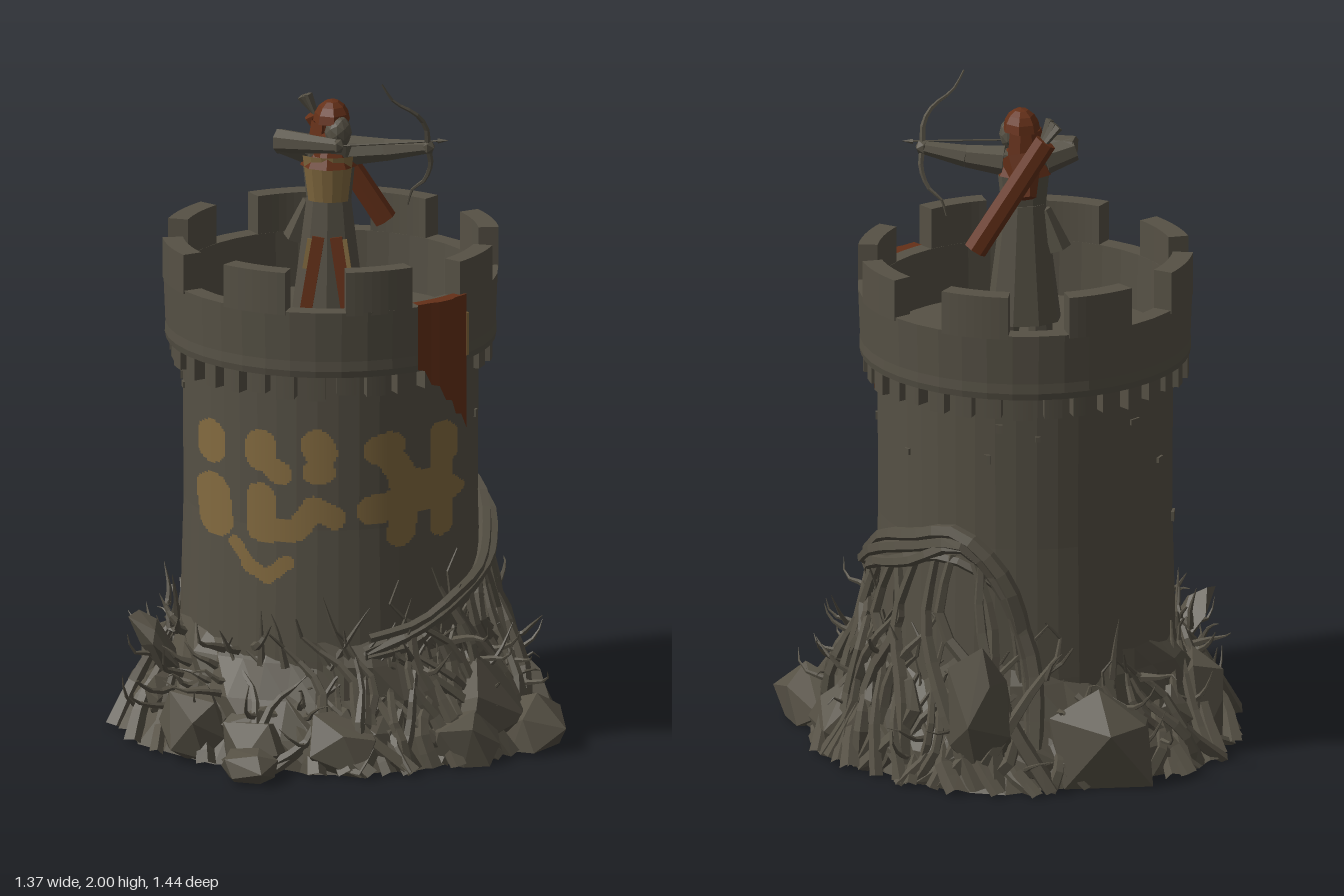
import * as THREE from 'three';
import { mergeGeometries } from 'three/addons/utils/BufferGeometryUtils.js';
import { ConvexGeometry } from 'three/addons/geometries/ConvexGeometry.js';

const stone = new THREE.MeshStandardMaterial({ color: 0x565145 });
stone.name = 'stone grey';
const rust = new THREE.MeshStandardMaterial({ color: 0x653018, side: THREE.DoubleSide });
rust.name = 'rust cloth';
const tan = new THREE.MeshStandardMaterial({ color: 0x846b40, side: THREE.DoubleSide });
tan.name = 'tan paint';

let seed = 7;
const rnd = () => (seed = (seed * 16807) % 2147483647) / 2147483647;
const span = (a, b) => a + (b - a) * rnd();
const V = (x, y, z) => new THREE.Vector3(x, y, z);
// Point around the tower axis; 0 degrees is the front, 90 the model's left
const P = (deg, r, y) => V(Math.sin(deg * Math.PI / 180) * r, y, Math.cos(deg * Math.PI / 180) * r);

// Faceted geometry with one normal per face
function flat(g) {
  const f = g.index ? g.toNonIndexed() : g;
  f.deleteAttribute('uv');
  f.computeVertexNormals();
  return f;
}
function add(group, name, geo, mat) {
  const m = new THREE.Mesh(Array.isArray(geo) ? mergeGeometries(geo.map(flat)) : flat(geo), mat);
  m.name = name;
  group.add(m);
}
const lathe = (pts, n) => new THREE.LatheGeometry(pts.map(p => new THREE.Vector2(...p)), n);

// Block curved around the tower axis
function arcBlock(r0, r1, y0, y1, deg, width) {
  const a = (deg - width / 2 - 90) * Math.PI / 180, b = a + width * Math.PI / 180;
  const s = new THREE.Shape();
  s.absarc(0, 0, r1, a, b, false);
  s.absarc(0, 0, r0, b, a, true);
  return new THREE.ExtrudeGeometry(s, { depth: y1 - y0, bevelEnabled: false, curveSegments: 4 })
    .rotateX(-Math.PI / 2).translate(0, y0, 0);
}
// Tube that thins from r0 to r1
function taper(pts, r0, r1, seg = 9) {
  const curve = new THREE.CatmullRomCurve3(pts), g = new THREE.TubeGeometry(curve, seg, 1, 5);
  const p = g.attributes.position, v = V(0, 0, 0);
  for (let i = 0; i < p.count; i++) {
    const t = Math.floor(i / 6) / seg, c = curve.getPointAt(t);
    v.fromBufferAttribute(p, i).sub(c).multiplyScalar(r0 + (r1 - r0) * t).add(c);
    p.setXYZ(i, v.x, Math.max(0, v.y), v.z);
  }
  return g;
}
// Straight tapered limb between two points
function limb(a, b, r0, r1, n = 7) {
  const d = b.clone().sub(a), g = new THREE.CylinderGeometry(r1, r0, d.length(), n);
  g.applyQuaternion(new THREE.Quaternion().setFromUnitVectors(V(0, 1, 0), d.normalize()));
  return g.translate((a.x + b.x) / 2, (a.y + b.y) / 2, (a.z + b.z) / 2);
}
// Angular boulder, cut flat at the ground
function rock(c, sx, sy, sz, lean = 0) {
  const pts = [], n = 13, spin = new THREE.Euler(span(-0.6, 0.6), span(0, 6), span(-0.6, 0.6));
  const out = V(c.x, 0, c.z).normalize();
  for (let i = 0; i < n; i++) {
    const y = 1 - 2 * (i + 0.5) / n, r = Math.sqrt(1 - y * y), a = i * 2.4 + span(-0.5, 0.5);
    const p = V(Math.cos(a) * r, y, Math.sin(a) * r).multiplyScalar(span(0.85, 1.15)).applyEuler(spin);
    p.multiply(V(sx, sy, sz));
    p.addScaledVector(out, p.y * lean).add(c);
    p.y = Math.max(0, p.y);
    pts.push(p);
  }
  return new ConvexGeometry(pts);
}

function buildTower(g) {
  add(g, 'towerWall', lathe([[0.45, 0], [0.445, 0.3], [0.434, 0.7], [0.437, 1.19]], 44), stone);
  add(g, 'parapetAndFloor', lathe([[0.43, 1.165], [0.486, 1.18], [0.49, 1.2], [0.488, 1.23], [0.494, 1.38],
    [0.437, 1.38], [0.432, 1.21], [0, 1.21]], 40), stone);
  const merlons = [], corbels = [], bricks = [];
  for (let i = 0; i < 8; i++)
    merlons.push(arcBlock(0.437, 0.493 + span(0, 0.006), 1.37, span(1.485, 1.505), 22.5 + i * 45, 24));
  for (let i = 0; i < 33; i++)
    corbels.push(arcBlock(0.42, span(0.468, 0.482), span(1.105, 1.125), 1.185, i * 360 / 33, span(5.6, 7.2)));
  for (let i = 0; i < 10; i++) {
    const y = span(0.65, 1.08);
    bricks.push(arcBlock(0.42, 0.442, y, y + span(0.015, 0.03), span(75, 290), span(2, 5)));
  }
  add(g, 'merlons', merlons, stone);
  add(g, 'corbels', corbels, stone);
  add(g, 'raisedBricks', bricks, stone);
}

// Blotches of paint wrapped on the wall: strokes of x1, y1, x2, y2, radius
function buildPaint(g) {
  const strokes = [
    [-0.325, 0.95, -0.325, 0.91, 0.045], [-0.17, 0.95, -0.17, 0.92, 0.048], [-0.13, 0.88, -0.11, 0.87, 0.035],
    [0.0, 0.96, 0.01, 0.94, 0.05], [-0.01, 0.88, 0.02, 0.88, 0.035], [-0.32, 0.78, -0.31, 0.7, 0.055],
    [-0.17, 0.79, -0.17, 0.7, 0.045], [-0.16, 0.69, -0.06, 0.7, 0.035], [-0.06, 0.7, -0.01, 0.77, 0.035],
    [-0.01, 0.77, 0.05, 0.74, 0.035], [0.18, 0.94, 0.21, 0.95, 0.045], [0.21, 0.92, 0.24, 0.87, 0.04],
    [0.16, 0.76, 0.35, 0.79, 0.045], [0.24, 0.84, 0.31, 0.83, 0.035], [0.25, 0.74, 0.24, 0.68, 0.04],
    [0.352, 0.97, 0.352, 0.68, 0.03], [0.36, 0.95, 0.36, 0.9, 0.035], [-0.25, 0.64, -0.21, 0.59, 0.02],
    [-0.21, 0.58, -0.15, 0.55, 0.022], [-0.15, 0.55, -0.09, 0.6, 0.022], [0.37, 0.8, 0.385, 0.78, 0.025]];
  const hit = (x, y) => strokes.some(([a, b, c, d, r]) => {
    const dx = c - a, dy = d - b, l = dx * dx + dy * dy;
    const t = Math.min(1, Math.max(0, ((x - a) * dx + (y - b) * dy) / l));
    return Math.hypot(x - a - dx * t, y - b - dy * t) < r;
  });
  const pos = [], da = 0.9, dy = 0.007, R = 0.442;
  for (let a = -72; a < 74; a += da) for (let y = 0.5; y < 1.05; y += dy) {
    if (!hit(Math.sin((a + da / 2) * Math.PI / 180) * R, y + dy / 2)) continue;
    const q = [P(a, R, y), P(a + da, R, y), P(a + da, R, y + dy), P(a, R, y + dy)];
    for (const k of [0, 1, 2, 0, 2, 3]) pos.push(...q[k].toArray());
  }
  const geo = new THREE.BufferGeometry();
  geo.setAttribute('position', new THREE.Float32BufferAttribute(pos, 3));
  add(g, 'paintedBlotches', geo, tan);
}

// Torn cloth hanging over the outer edge of the parapet
function buildBanner(g) {
  const geo = new THREE.PlaneGeometry(1, 1, 8, 8), p = geo.attributes.position;
  for (let i = 0; i < p.count; i++) {
    const u = p.getX(i) + 0.5, k = Math.round((0.5 - p.getY(i)) * 8), col = Math.round(u * 8);
    const low = 1.19 - 0.21 * u + (col % 2) * 0.02;
    const y = 1.388 + (low - 1.388) * Math.max(0, k - 1) / 7;
    const r = k < 1 ? 0.468 : 0.502 + (col > 2 && col < 6 ? 0.008 : 0);
    p.setXYZ(i, ...P(36 + 22 * u, r, y).toArray());
  }
  add(g, 'tornBanner', geo, rust);
  add(g, 'bannerTrim', arcBlock(0.496, 0.504, 1.2, 1.33, 58.6, 1.2), tan);
}

function buildBase(g) {
  // Rubble mound
  const mound = lathe([[0, 0], [0.59, 0], [0.55, 0.09], [0.5, 0.19], [0.46, 0.29], [0.43, 0.36]], 36);
  const p = mound.attributes.position;
  for (let i = 0; i < p.count; i++) {
    const a = Math.atan2(p.getX(i), p.getZ(i)), y = p.getY(i);
    const k = 1 + 0.04 * Math.sin(a * 5 + y * 20) + 0.03 * Math.sin(a * 11 + 1 - y * 30);
    p.setXYZ(i, p.getX(i) * k, y, p.getZ(i) * k);
  }
  add(g, 'rubbleMound', mound, stone);

  const rocks = [
    rock(V(0.6, 0.03, 0.2), 0.13, 0.13, 0.16), rock(V(0.47, 0.1, 0.27), 0.13, 0.18, 0.16),
    rock(V(0.42, 0.05, 0.4), 0.12, 0.13, 0.1), rock(V(0.56, 0.07, -0.11), 0.1, 0.13, 0.1),
    rock(V(0.17, 0.21, -0.53), 0.13, 0.21, 0.08, 0.25), rock(V(-0.17, 0.1, -0.53), 0.18, 0.2, 0.09),
    rock(V(-0.475, 0.24, 0.17), 0.05, 0.155, 0.1, 0.6), rock(V(-0.5, 0.1, -0.12), 0.1, 0.17, 0.11),
    rock(V(-0.18, 0.04, 0.69), 0.085, 0.07, 0.08), rock(V(-0.17, 0.06, 0.56), 0.12, 0.11, 0.1),
    rock(V(0.08, 0.06, 0.53), 0.13, 0.13, 0.11), rock(V(-0.36, 0.08, 0.44), 0.11, 0.14, 0.1)];
  for (let i = 0; i < 46; i++) {
    const s = span(0.04, 0.085);
    rocks.push(rock(P(i * 360 / 46 + span(-4, 4), span(0.48, 0.54), span(0, 0.15)), s, s * span(0.6, 1.3), s));
  }
  add(g, 'boulders', rocks, stone);

  // Roots climbing the wall, taller on the model's left side
  const roots = [];
  for (let i = 0; i < 110; i++) {
    const a = i < 65 ? span(-180, 180) : span(5, 165), d = span(-34, 34);
    const side = Math.max(0, Math.sin((a - 5) * Math.PI / 180));
    const left = Math.max(0, 1 - Math.abs(a + 92) / 22);
    const h = span(0.18, 0.4) + 0.25 * side * rnd() + 0.25 * left * rnd();
    roots.push(taper([P(a, span(0.56, 0.65), 0), P(a + d * 0.3 + span(-5, 5), span(0.54, 0.59), h * 0.3),
      P(a + d * 0.5 + span(-6, 6), span(0.48, 0.53), h * 0.6), P(a + d, 0.455, h * 0.85),
      P(a + d + span(-8, 8), span(0.44, 0.49), h)], span(0.016, 0.034), 0.003));
  }
  // Great root slanting round to the back, then dropping to the ground
  const path = [[20, 0.36], [38, 0.42], [55, 0.47], [75, 0.53], [95, 0.59], [112, 0.65], [130, 0.7], [152, 0.74],
    [166, 0.64], [176, 0.38], [178, 0]];
  for (let i = 0; i < 4; i++)
    roots.push(taper(path.map(([a, y]) => P(a + span(-3, 3), 0.45 + (y < 0.1 ? 0.1 : span(0, 0.03)),
      Math.max(0, y - i * 0.022 + span(-0.022, 0.022)))), 0.014, 0.032 - i * 0.005, 30));
  for (let i = 0; i < 17; i++) {
    const a = 34 + i * 8 + span(-3, 3), y = 0.41 + i * 0.019;
    roots.push(taper([P(a + span(0, 34), 0.6, 0), P(a + span(-4, 24), 0.545, y * 0.35), P(a + span(-8, 14), 0.49, y * 0.7),
      P(a, 0.455, y)], 0.03, 0.013));
  }
  add(g, 'climbingRoots', roots, stone);

  // Thin twigs flicking outward
  const twigs = [];
  for (let i = 0; i < 60; i++) {
    const a = span(-180, 180), y = span(0.06, 0.36), r = span(0.55, 0.71) - y * 0.14, d = span(-12, 12);
    twigs.push(taper([P(a, 0.47, y), P(a + d * 0.3, (0.47 + r) / 2, y + span(-0.02, 0.03)), P(a + d * 0.6, r - 0.02, y + 0.04),
      P(a + d, r, y + span(0.02, 0.12))], 0.015, 0.001, 6));
  }
  for (const a of [-88, -22, -12, 5, 14, 28, 75, 120, -150]) {
    const d = span(-9, 9);
    twigs.push(taper([P(a, 0.45, 0.28), P(a + d, 0.46, 0.4), P(a + d * 1.6, 0.47, span(0.44, 0.54))], 0.014, 0.001, 6));
  }
  add(g, 'twigs', twigs, stone);
}

function buildArcher(g) {
  const X = -0.03, Z = -0.02;
  const oval = (r1, r0, y0, y1, k, n = 9, open = false, s = 0, l = Math.PI * 2) =>
    new THREE.CylinderGeometry(r1, r0, y1 - y0, n, 1, open, s, l).scale(1, 1, k).translate(X, (y0 + y1) / 2, Z);
  add(g, 'boots', [-1, 1].map(s => limb(V(X + s * 0.05, 1.21, Z + 0.01), V(X + s * 0.04, 1.4, Z), 0.036, 0.04)), stone);
  add(g, 'longSkirt', [oval(0.066, 0.112, 1.26, 1.62, 0.78),
    limb(V(-0.09, 1.6, -0.03), V(-0.135, 1.48, -0.04), 0.02, 0.035, 5)], stone);
  add(g, 'torso', oval(0.085, 0.066, 1.6, 1.78, 0.7), stone);
  add(g, 'chestCloth', oval(0.092, 0.072, 1.61, 1.75, 0.74, 5, true, -0.95, 1.9), tan);
  // Hanging skirt panels with a tan edge
  for (const s of [-1, 1]) {
    const tilt = geo => geo.rotateX(-0.11).rotateZ(s * 0.16).translate(X + s * 0.045, 1.39, Z + 0.076);
    add(g, 'skirtPanel', tilt(new THREE.BoxGeometry(0.036, 0.24, 0.009)), rust);
    add(g, 'skirtTrim', tilt(new THREE.BoxGeometry(0.014, 0.09, 0.009).translate(s * 0.024, 0.065, -0.002)), tan);
  }
  // Scarf, hood with a back drape, and shaded face
  add(g, 'scarf', [oval(0.05, 0.086, 1.715, 1.785, 0.95), limb(V(-0.02, 1.77, -0.05), V(-0.03, 1.66, -0.11), 0.062, 0.03, 6)], rust);
  add(g, 'face', new THREE.IcosahedronGeometry(0.045, 1).scale(0.9, 1.15, 0.9).translate(0.0, 1.822, 0.014), stone);
  add(g, 'hood', [
    new THREE.SphereGeometry(0.064, 7, 4, 0, Math.PI * 2, 0, 1.5).scale(0.88, 1.1, 1.05).translate(-0.022, 1.842, -0.022),
    new THREE.CylinderGeometry(0.058, 0.072, 0.1, 6, 1, true, 2.4, 3.5).translate(-0.024, 1.8, -0.022)], rust);
  // Drawing arm and bow arm
  const grip = V(0.265, 1.785, 0.02), draw = V(0.0, 1.79, 0.055);
  add(g, 'drawingArm', [limb(V(-0.09, 1.755, -0.03), V(-0.18, 1.782, -0.02), 0.046, 0.036),
    limb(V(-0.18, 1.782, -0.02), draw, 0.038, 0.022), new THREE.IcosahedronGeometry(0.024, 0).translate(...draw.toArray())], stone);
  add(g, 'bowArm', [limb(V(0.03, 1.755, -0.03), V(0.14, 1.765, -0.01), 0.046, 0.034),
    limb(V(0.14, 1.765, -0.01), grip, 0.034, 0.02), new THREE.IcosahedronGeometry(0.024, 0).translate(...grip.toArray())], stone);
  add(g, 'bow', [
    taper([grip, V(0.262, 1.85, 0.04), V(0.235, 1.895, 0.06), V(0.17, 1.94, 0.085), V(0.137, 1.995, 0.1)], 0.01, 0.003),
    taper([grip, V(0.272, 1.73, 0), V(0.25, 1.67, -0.02), V(0.215, 1.64, -0.035), V(0.2, 1.59, -0.04)], 0.01, 0.003)], stone);
  add(g, 'nockedArrow', [limb(draw, V(0.31, 1.805, 0.02), 0.003, 0.003, 4), limb(V(0.295, 1.804, 0.02), V(0.325, 1.806, 0.02), 0.008, 0.001, 4)], stone);
  // Quiver slung across the back
  add(g, 'quiver', limb(V(0.125, 1.515, -0.14), V(-0.085, 1.84, -0.128), 0.036, 0.034, 7), rust);
  add(g, 'quiverArrows', [-1, 0, 1].map(s =>
    limb(V(-0.07, 1.82, -0.125 + s * 0.012), V(-0.112 + s * 0.012, 1.895 + s * 0.008, -0.122 + s * 0.014), 0.006, 0.013, 4)), stone);
}

export function createModel() {
  seed = 7;
  const model = new THREE.Group(), tower = new THREE.Group(), archer = new THREE.Group();
  model.name = 'watchtower';
  tower.name = 'tower';
  archer.name = 'archer';
  tower.position.set(-0.03, 0, -0.07);
  buildTower(tower);
  buildPaint(tower);
  buildBanner(tower);
  buildBase(tower);
  buildArcher(archer);
  model.add(tower, archer);
  return model;
}
